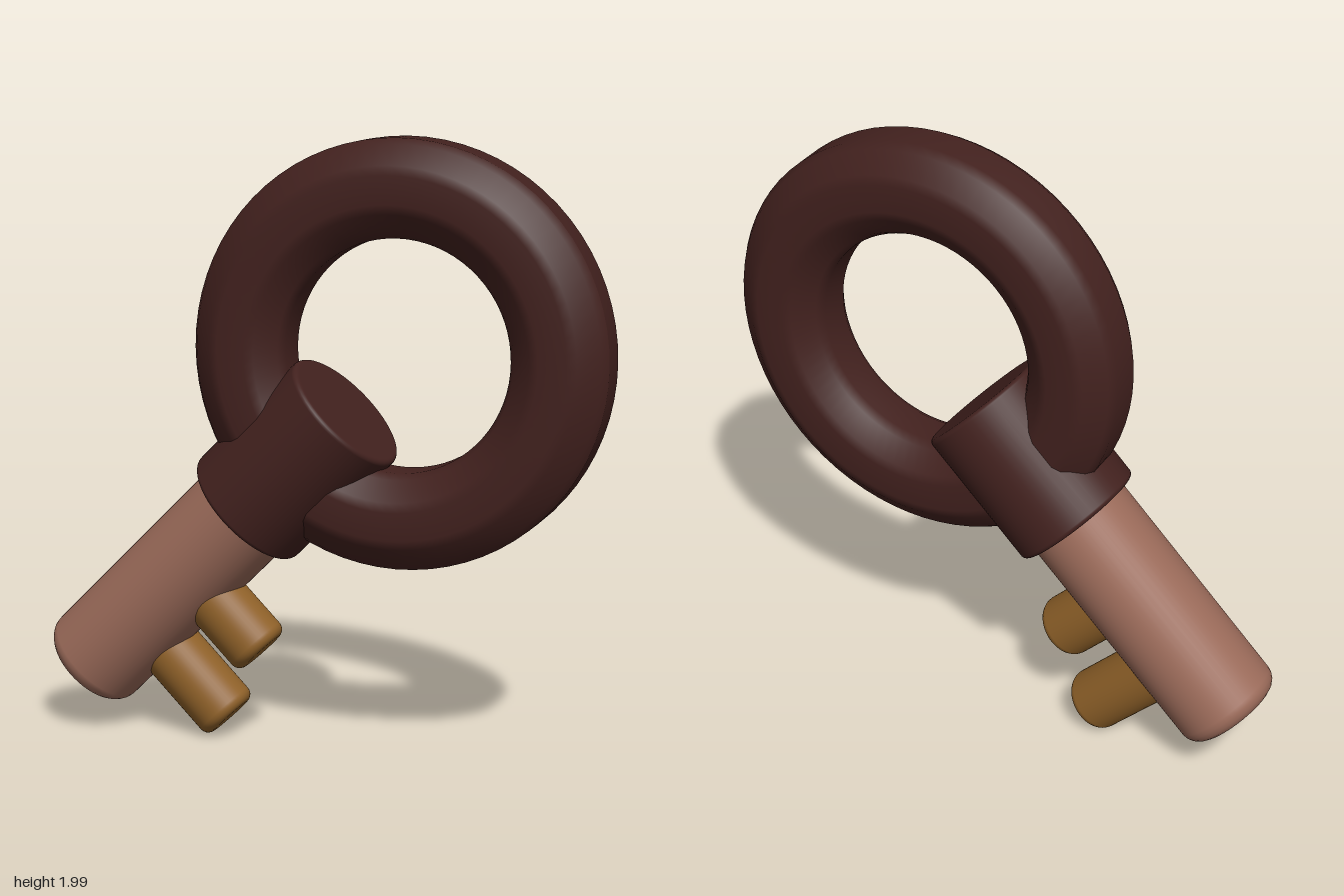
import * as THREE from 'three';

const dark = new THREE.MeshStandardMaterial({ color: 0x42211e });
const rose = new THREE.MeshStandardMaterial({ color: 0x9a6a59 });
const gold = new THREE.MeshStandardMaterial({ color: 0x8f6129 });

// Upright cylinder from y = 0 to y = length with rounded rims
function roundedCylinder(name, radius, length, bevel, material) {
  const points = [new THREE.Vector2(0, 0), new THREE.Vector2((radius - bevel) * 0.97, 0)];
  const steps = 5;
  for (const end of [0, 1]) {
    for (let i = 0; i <= steps; i++) {
      const a = (i / steps + end - 1) * Math.PI / 2;
      const cy = end ? length - bevel : bevel;
      points.push(new THREE.Vector2(radius - bevel + bevel * Math.cos(a), cy + bevel * Math.sin(a)));
    }
  }
  points.push(new THREE.Vector2((radius - bevel) * 0.97, length), new THREE.Vector2(0, length));
  const mesh = new THREE.Mesh(new THREE.LatheGeometry(points, 48), material);
  mesh.name = name;
  return mesh;
}

export function createModel() {
  const model = new THREE.Group();
  model.name = 'key';

  // Ring handle: a softened octagonal section swept round a circle
  const corner = [[0.155, 0.055], [0.138, 0.085], [0.075, 0.137], [0.045, 0.147]];
  const mirrored = [...corner].reverse();
  const section = [
    ...corner,
    ...mirrored.map(([r, z]) => [-r, z]),
    ...corner.map(([r, z]) => [-r, -z]),
    ...mirrored.map(([r, z]) => [r, -z]),
  ];
  section.push(section[0]);
  const ringGeometry = new THREE.LatheGeometry(
    section.map(([r, z]) => new THREE.Vector2(0.525 + r, z)), 72);
  ringGeometry.rotateX(Math.PI / 2);
  const ring = new THREE.Mesh(ringGeometry, dark);
  ring.name = 'ringHandle';
  ring.position.set(0.26, 1.32, 0.003);
  model.add(ring);

  // Shaft, collar and teeth share one axis leaning 45 degrees
  const stem = new THREE.Group();
  stem.name = 'stem';
  stem.position.set(-0.85, 0.205, 0);
  stem.rotation.z = -Math.PI / 4;
  model.add(stem);

  stem.add(roundedCylinder('shaft', 0.177, 1.0, 0.055, rose));

  const collar = roundedCylinder('collar', 0.222, 0.488, 0.016, dark);
  collar.position.y = 0.823;
  stem.add(collar);

  // Teeth: distance along the shaft, reach from its axis, offset in z
  const teeth = [[0.267, 0.455, -0.02], [0.527, 0.373, 0.01]];
  teeth.forEach(([along, reach, z], i) => {
    const tooth = roundedCylinder('tooth' + (i + 1), 0.104, reach, 0.032, gold);
    tooth.position.set(0, along, z);
    tooth.rotation.z = -Math.PI / 2;
    stem.add(tooth);
  });

  return model;
}
